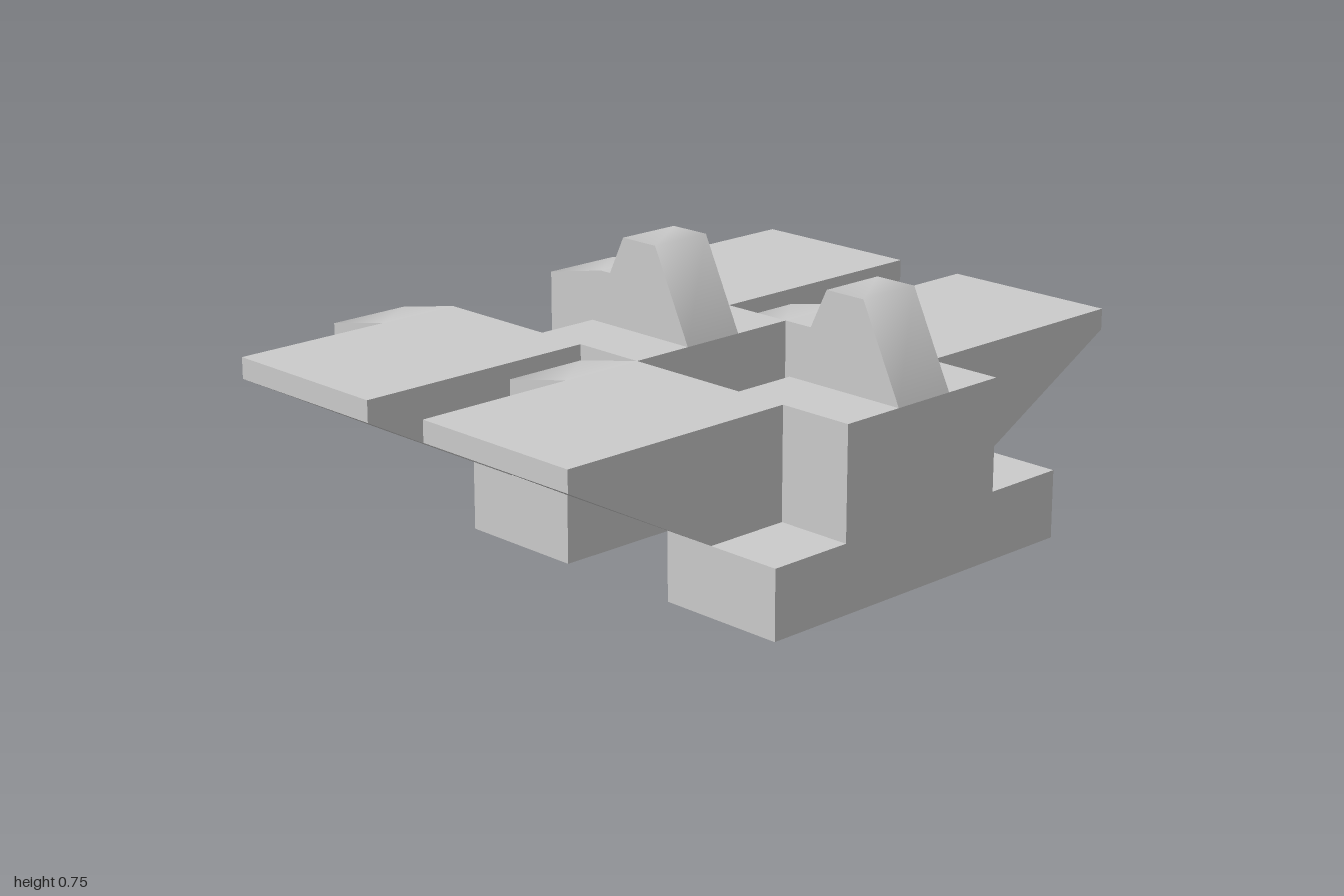
import * as THREE from 'three';
import { toCreasedNormals } from 'three/addons/utils/BufferGeometryUtils.js';

const material = new THREE.MeshStandardMaterial({ color: 0xcccccc });

function part(name, geometry) {
  const mesh = new THREE.Mesh(geometry, material);
  mesh.name = name;
  return mesh;
}

// Box given by its lower and upper limits on each axis
function block(name, [x0, x1], [y0, y1], [z0, z1]) {
  const geometry = new THREE.BoxGeometry(x1 - x0, y1 - y0, z1 - z0);
  geometry.translate((x0 + x1) / 2, (y0 + y1) / 2, (z0 + z1) / 2);
  return part(name, geometry);
}

function extrude(points, depth) {
  const shape = new THREE.Shape(points.map(([a, b]) => new THREE.Vector2(a, b)));
  return new THREE.ExtrudeGeometry(shape, { depth, bevelEnabled: false });
}

// Side profile in (z, y), extruded across x, with softened shading around the profile
function crossPrism(name, points, width, x) {
  const geometry = extrude(points, width);
  geometry.translate(0, 0, -width / 2).rotateY(-Math.PI / 2).translate(x, 0, 0);
  return part(name, toCreasedNormals(geometry, 1.45));
}

function createLink() {
  const link = new THREE.Group();
  link.name = 'trackLink';

  // Ground bar and the raised centre above it
  link.add(block('groundBar', [-0.53, 0.53], [0, 0.19], [0.485, 0.86]));
  link.add(block('centreBlock', [-0.28, 0.28], [0.19, 0.5], [0.485, 0.86]));

  // Guide tooth on top of the centre
  const tooth = [[0.485, 0.5], [0.86, 0.5], [0.735, 0.755], [0.61, 0.755]];
  link.add(crossPrism('guideTooth', tooth, 0.19, 0));

  for (const side of [1, -1]) {
    // Wing with its underside sloping up to a thin outer edge
    const profile = [[0.28, 0.19], [0.53, 0.19], [1, 0.44], [1, 0.5], [0.28, 0.5]];
    const wing = extrude(profile.map(([x, y]) => [side * x, y]), 0.53);
    wing.translate(0, 0, 0.11);
    link.add(part(side > 0 ? 'leftWing' : 'rightWing', wing));

    // Tapered lug reaching back to the next link
    const lug = [[0.11, 0.19], [0.11, 0.5], [-0.11, 0.455], [-0.11, 0.24]];
    link.add(crossPrism(side > 0 ? 'leftLug' : 'rightLug', lug, 0.25, side * 0.405));
  }
  return link;
}

export function createModel() {
  const model = new THREE.Group();
  model.name = 'trackSection';
  // Two identical links, one behind the other
  for (const [name, z] of [['frontLink', 0], ['rearLink', -0.75]]) {
    const link = createLink();
    link.name = name;
    link.position.z = z;
    model.add(link);
  }
  return model;
}
